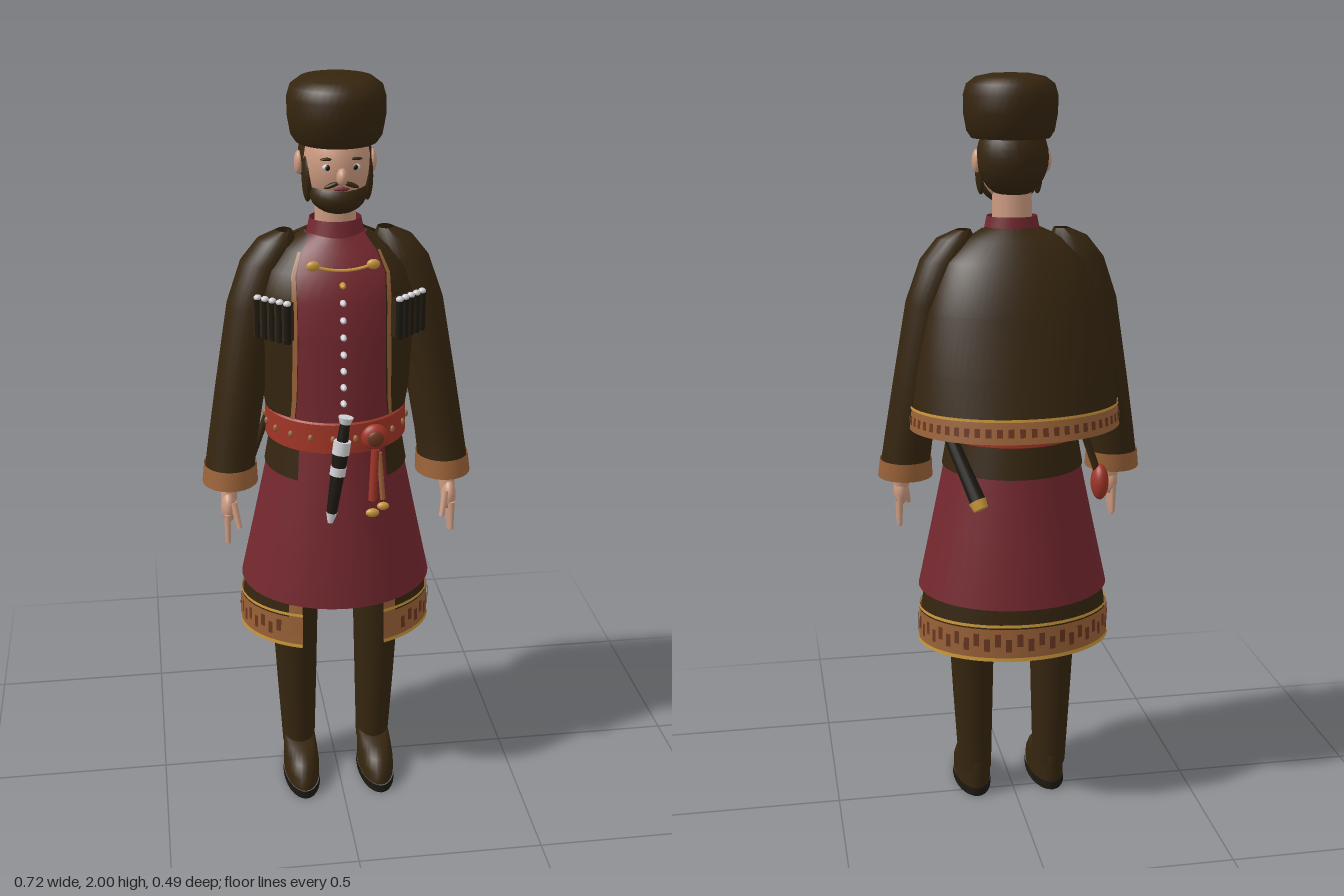
import * as THREE from 'three';
import { toCreasedNormals } from 'three/addons/utils/BufferGeometryUtils.js';

const V = (a) => new THREE.Vector3(...a);
const paint = (name, color, side = THREE.FrontSide) => {
  const m = new THREE.MeshStandardMaterial({ color, side });
  m.name = name;
  return m;
};

export function createModel() {
  const root = new THREE.Group();
  const D = THREE.DoubleSide;
  const brown = paint('darkBrown', 0x35250f, D), crimson = paint('crimson', 0x74282f, D);
  const beltRed = paint('beltRed', 0xa03526, D), trim = paint('trimOchre', 0x9a6238, D);
  const ornament = paint('ornamentBrown', 0x693620, D), gold = paint('gold', 0xc8963a, D);
  const skin = paint('skin', 0xcc9a80), silver = paint('silver', 0xd2d2d6), black = paint('black', 0x1c1812);

  const add = (name, geo, mat, pos = [0, 0, 0], parent = root) => {
    const m = new THREE.Mesh(geo, mat);
    m.name = name;
    m.position.set(...pos);
    parent.add(m);
    return m;
  };
  // Lofted shell, rows from top to bottom: [y, half width, z front, z back, centre x, opening degrees]
  const shell = (name, mat, rows, { arc = (r) => [r[5] || 0, 360 - (r[5] || 0)], grow = 0, seg = 40, parent = root } = {}) => {
    const geo = new THREE.PlaneGeometry(1, 1, seg, rows.length - 1);
    const p = geo.attributes.position;
    for (let i = 0; i < p.count; i++) {
      const r = rows[Math.floor(i / (seg + 1))];
      const [from, to] = arc(r);
      const a = THREE.MathUtils.degToRad(from + (to - from) * (i % (seg + 1)) / seg);
      p.setXYZ(i, (r[4] || 0) + (r[1] + grow) * Math.sin(a), r[0],
        (r[2] + r[3]) / 2 + ((r[2] - r[3]) / 2 + grow) * Math.cos(a));
    }
    return add(name, toCreasedNormals(geo, 0.8), mat, [0, 0, 0], parent);
  };
  const ball = (name, mat, pos, size, parent = root) => {
    const m = add(name, new THREE.SphereGeometry(1, 24, 16), mat, pos, parent);
    m.scale.set(...size);
    return m;
  };
  const bar = (name, mat, a, b, r1, r2 = r1) => {
    const d = V(b).sub(V(a));
    const m = add(name, new THREE.CylinderGeometry(r2, r1, d.length(), 14), mat);
    m.position.copy(V(a)).addScaledVector(d, 0.5);
    m.quaternion.setFromUnitVectors(new THREE.Vector3(0, 1, 0), d.normalize());
    return m;
  };
  const mix = (a, b, t) => V(a).lerp(V(b), t).toArray();

  // Fur hat
  shell('furHat', brown, [[2, 0.001, 0.034, 0.032], [1.998, 0.05, 0.085, -0.02], [1.99, 0.09, 0.13, -0.065],
    [1.972, 0.114, 0.158, -0.094], [1.945, 0.122, 0.168, -0.104], [1.9, 0.122, 0.167, -0.102],
    [1.855, 0.114, 0.156, -0.09], [1.837, 0.102, 0.144, -0.08], [1.835, 0.001, 0.034, 0.032]]);

  // Head, hair and beard
  ball('head', skin, [0, 1.785, 0.038], [0.084, 0.118, 0.1]);
  ball('hair', brown, [0, 1.79, 0.003], [0.094, 0.105, 0.09]);
  ball('beard', brown, [0, 1.715, 0.062], [0.073, 0.05, 0.072]).rotation.x = 0.25;
  ball('nose', skin, [0, 1.768, 0.138], [0.014, 0.022, 0.021]);
  ball('mouth', crimson, [0, 1.737, 0.131], [0.02, 0.005, 0.006]);
  bar('neck', skin, [0, 1.58, 0.01], [0, 1.74, 0.015], 0.054, 0.05);
  for (const s of [-1, 1]) {
    ball('ear', skin, [s * 0.092, 1.78, 0.016], [0.012, 0.03, 0.02]);
    ball('sideburn', brown, [s * 0.075, 1.75, 0.055], [0.014, 0.06, 0.028]);
    ball('moustache', brown, [s * 0.022, 1.748, 0.13], [0.022, 0.006, 0.008]).rotation.z = -s * 0.35;
    ball('eyeWhite', silver, [s * 0.034, 1.79, 0.125], [0.013, 0.008, 0.007]);
    ball('pupil', black, [s * 0.034, 1.79, 0.13], [0.006, 0.007, 0.004]);
    ball('eyebrow', brown, [s * 0.034, 1.81, 0.125], [0.018, 0.004, 0.006]);
  }

  // Tunic, collar and open coat
  const torso = [[1.605, 0.075, 0.08, -0.05, 0, 59], [1.57, 0.135, 0.105, -0.08, 0, 42], [1.52, 0.18, 0.14, -0.1, 0, 37],
    [1.45, 0.205, 0.16, -0.12, 0, 32], [1.35, 0.205, 0.168, -0.135, 0, 32], [1.2, 0.19, 0.17, -0.145, 0, 36],
    [1.1, 0.175, 0.175, -0.15, 0, 43]];
  shell('tunic', crimson, torso, { arc: () => [0, 360] });
  shell('collar', crimson, [[1.64, 0.066, 0.074, -0.046], [1.59, 0.076, 0.086, -0.054]]);
  shell('coat', brown, torso, { grow: 0.006 });
  for (const side of [0, 1])
    shell('coatEdgeTrim', trim, torso.slice(1), { grow: 0.01, seg: 2, arc: (r) => side ? [360 - r[5] - 4, 360 - r[5]] : [r[5], r[5] + 4] });

  // Crimson skirt, waist band and belt
  shell('skirt', crimson, [[1.07, 0.168, 0.182, -0.158], [0.97, 0.187, 0.197, -0.172], [0.8, 0.223, 0.222, -0.2], [0.63, 0.26, 0.245, -0.225]]);
  shell('waistBand', brown, [[1.07, 0.174, 0.186, -0.163, 0, 40], [0.975, 0.191, 0.2, -0.178, 0, 38]]);
  shell('belt', beltRed, [[1.142, 0.182, 0.186, -0.16], [1.138, 0.187, 0.191, -0.166], [1.06, 0.188, 0.195, -0.17], [1.056, 0.18, 0.188, -0.162]]);
  for (let i = 0; i < 20; i++) {
    const a = (i + 0.5) * Math.PI / 10;
    ball('beltStud', trim, [0.188 * Math.sin(a), 1.1, 0.012 + 0.182 * Math.cos(a)], [0.007, 0.01, 0.007]);
  }

  // Lower coat with ornamented hem
  const hem = [[0.7, 0.235, 0.18, -0.185, 0, 27], [0.58, 0.255, 0.193, -0.2, 0, 25.5], [0.48, 0.262, 0.198, -0.208, 0, 25]];
  shell('lowerCoat', brown, hem);
  const hemBand = (name, mat, y0, y1, grow) => shell(name, mat, [[y0, 0.258, 0.195, -0.203, 0, 25], [y1, 0.259, 0.196, -0.204, 0, 25]], { grow });
  hemBand('hemTrim', trim, 0.57, 0.48, 0.004);
  hemBand('hemUpperLine', gold, 0.582, 0.574, 0.003);
  hemBand('hemLowerLine', gold, 0.49, 0.48, 0.007);
  for (const side of [0, 1])
    shell('coatFrontTrim', trim, hem, { grow: 0.003, seg: 3, arc: (r) => side ? [360 - r[5] - 9, 360 - r[5]] : [r[5], r[5] + 9] });
  for (let i = 0; i < 44; i++) {
    const a = 38 + i * 6.5, low = 0.508 + (i % 2) * 0.014;
    shell('hemOrnament', ornament, [[low + 0.035, 0.258, 0.195, -0.203], [low, 0.259, 0.196, -0.204]], { grow: 0.007, seg: 2, arc: () => [a, a + 3.4] });
  }

  // Short cape over the back
  const cape = [[1.612, 0.07, 0.06, -0.052], [1.585, 0.13, 0.08, -0.085], [1.53, 0.19, 0.1, -0.125], [1.4, 0.235, 0.12, -0.168],
    [1.25, 0.262, 0.15, -0.205], [1.15, 0.274, 0.176, -0.23], [1.09, 0.28, 0.185, -0.243]];
  const back = () => [88, 272];
  shell('cape', brown, cape, { arc: back });
  shell('capeTrim', trim, cape.slice(-2), { arc: back, grow: 0.003 });
  shell('capeTrimLine', gold, [[1.153, 0.274, 0.176, -0.23], [1.146, 0.275, 0.177, -0.231]], { arc: back, grow: 0.005 });
  for (let i = 0; i < 30; i++)
    shell('capeOrnament', ornament, [[1.13, 0.277, 0.18, -0.236], [1.108, 0.279, 0.183, -0.24]], { grow: 0.006, seg: 2, arc: () => [91 + i * 6, 94 + i * 6] });

  for (const s of [-1, 1]) {
    // Sleeve and cuff
    const sleeve = [[1.607, 0.02, 0.03, -0.02, 0.13], [1.585, 0.05, 0.055, -0.04, 0.15], [1.53, 0.066, 0.072, -0.055, 0.178],
      [1.42, 0.068, 0.085, -0.055, 0.214], [1.2, 0.066, 0.1, -0.042, 0.253], [1.05, 0.065, 0.112, -0.032, 0.278],
      [0.99, 0.066, 0.12, -0.028, 0.286], [0.94, 0.07, 0.13, -0.026, 0.288]].map((r) => { r[4] *= s; return r; });
    shell('sleeve', brown, sleeve, { seg: 28 });
    shell('cuff', trim, sleeve.slice(-2), { seg: 28, grow: 0.004 });
    shell('cuffInside', brown, [[0.945, 0.07, 0.13, -0.026, s * 0.288], [0.944, 0.001, 0.053, 0.051, s * 0.288]], { seg: 28 });

    // Hand
    bar('wrist', skin, [s * 0.29, 0.98, 0.075], [s * 0.295, 0.9, 0.09], 0.024, 0.021);
    ball('palm', skin, [s * 0.297, 0.882, 0.098], [0.02, 0.042, 0.032]);
    for (let i = 0; i < 4; i++) {
      const z = 0.077 + i * 0.016, tip = 0.775 + Math.abs(i - 1.4) * 0.01;
      bar('finger', skin, [s * 0.301, 0.87, z], [s * 0.302, tip, z + 0.004], 0.009, 0.006);
    }
    bar('thumb', skin, [s * 0.285, 0.9, 0.117], [s * 0.272, 0.835, 0.138], 0.01, 0.007);

    // Cartridge pocket with silver-capped tubes
    add('cartridgePocket', new THREE.BoxGeometry(0.105, 0.1, 0.03), brown, [s * 0.172, 1.412, 0.13]).rotation.y = s * 0.73;
    for (let i = 0; i < 5; i++) {
      const x = s * (0.141 + i * 0.017), z = 0.173 - i * 0.0153;
      bar('cartridge', black, [x, 1.36, z], [x, 1.46, z], 0.009);
      ball('cartridgeCap', silver, [x, 1.464, z], [0.01, 0.008, 0.01]);
    }

    // Leg and boot
    shell('leg', brown, [[0.75, 0.075, 0.09, -0.055, s * 0.115], [0.5, 0.064, 0.082, -0.05, s * 0.115], [0.3, 0.056, 0.08, -0.045, s * 0.112],
      [0.07, 0.046, 0.072, -0.04, s * 0.108]], { seg: 24 });
    shell('boot', brown, [[0.105, 0.044, 0.085, -0.04, s * 0.108], [0.098, 0.045, 0.125, -0.042, s * 0.108], [0.08, 0.047, 0.17, -0.043, s * 0.108],
      [0.05, 0.05, 0.2, -0.043, s * 0.108], [0.02, 0.05, 0.204, -0.043, s * 0.108]], { seg: 28 });
    shell('sole', black, [[0.024, 0.052, 0.213, -0.045, s * 0.108], [0, 0.052, 0.213, -0.045, s * 0.108], [0, 0.001, 0.08, 0.078, s * 0.108]], { seg: 28 });

    // Chest clasp
    ball('clasp', gold, [s * 0.075, 1.555, 0.163], [0.017, 0.013, 0.009]);
  }

  // Chest chain and buttons
  const chain = new THREE.QuadraticBezierCurve3(V([-0.075, 1.555, 0.162]), V([0, 1.53, 0.172]), V([0.075, 1.555, 0.162]));
  add('chestChain', new THREE.TubeGeometry(chain, 20, 0.004, 8), gold);
  for (let i = 0; i < 8; i++) ball('button', i ? silver : gold, [0, 1.5 - i * 0.044, 0.156 + Math.min(i, 4) * 0.005], [0.008, 0.008, 0.016]);

  // Dagger with banded sheath
  const top = [0.003, 1.165, 0.2], tip = [-0.04, 0.875, 0.215];
  const dagger = (name, mat, a, b, r1, r2) => bar(name, mat, mix(top, tip, a), mix(top, tip, b), r1, r2);
  dagger('daggerPommel', silver, 0, 0.06, 0.02, 0.014);
  dagger('daggerGrip', black, 0.06, 0.22, 0.013, 0.015);
  dagger('daggerGuard', silver, 0.22, 0.34, 0.023, 0.023);
  dagger('daggerSheath', black, 0.34, 0.9, 0.021, 0.014);
  dagger('sheathBand', silver, 0.46, 0.54, 0.021, 0.021);
  dagger('sheathTip', silver, 0.9, 1, 0.015, 0.007);

  // Belt pouch with strap and tassels
  ball('pouch', beltRed, [0.08, 1.1, 0.188], [0.036, 0.036, 0.02]);
  ball('pouchBoss', ornament, [0.08, 1.1, 0.201], [0.022, 0.022, 0.01]);
  bar('strap', beltRed, [0.08, 1.07, 0.198], [0.072, 0.93, 0.208], 0.011);
  bar('strap', trim, [0.09, 1.06, 0.198], [0.1, 0.93, 0.205], 0.007);
  ball('tassel', gold, [0.072, 0.895, 0.212], [0.018, 0.012, 0.01]);
  ball('tassel', gold, [0.1, 0.912, 0.21], [0.016, 0.011, 0.01]);

  // Long scabbard at the back and holster at the right hip
  bar('scabbard', black, [0.2, 1.12, -0.09], [0.125, 0.925, -0.195], 0.016, 0.022);
  bar('scabbardTip', gold, [0.128, 0.93, -0.192], [0.12, 0.91, -0.203], 0.024, 0.02);
  ball('hilt', gold, [0.202, 1.13, -0.08], [0.017, 0.022, 0.017]);
  bar('holsterStrap', brown, [-0.18, 1.08, -0.04], [-0.225, 0.95, -0.045], 0.01);
  ball('holster', beltRed, [-0.232, 0.92, -0.045], [0.024, 0.05, 0.034]);

  return root;
}
